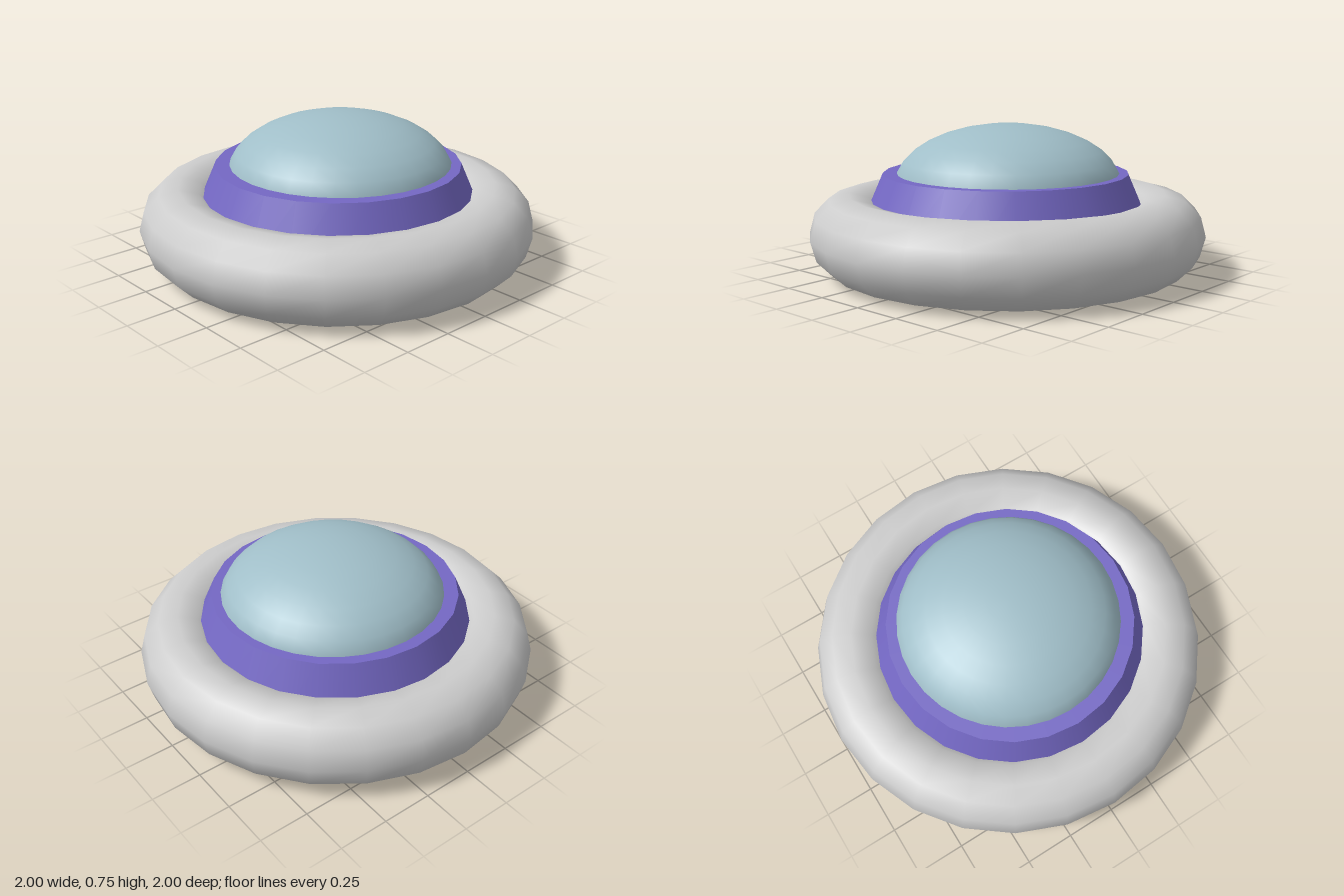
import * as THREE from 'three';

const part = (name, geometry, color, x, y, z) => {
  const mesh = new THREE.Mesh(geometry, new THREE.MeshStandardMaterial({ color }));
  mesh.name = name;
  mesh.position.set(x, y, z);
  return mesh;
};

export function createModel() {
  const group = new THREE.Group();
  group.name = 'domedSaucer';

  // Inflated outer ring lying flat
  const ring = new THREE.TorusGeometry(0.8, 0.2, 12, 24).rotateX(Math.PI / 2);
  group.add(part('outerRing', ring, 0xcccccc, 0, 0.2, 0));

  // Tapered collar that plugs the ring's hole
  const collar = new THREE.CylinderGeometry(0.62, 0.75, 0.3, 24);
  group.add(part('collar', collar, 0x7468c4, 0, 0.35, 0.01));

  // Flattened dome; its underside pokes through the collar's base
  const dome = new THREE.SphereGeometry(1, 32, 16).scale(0.57, 0.3, 0.57);
  group.add(part('dome', dome, 0xa0bec8, 0.015, 0.445, 0.01));

  return group;
}
